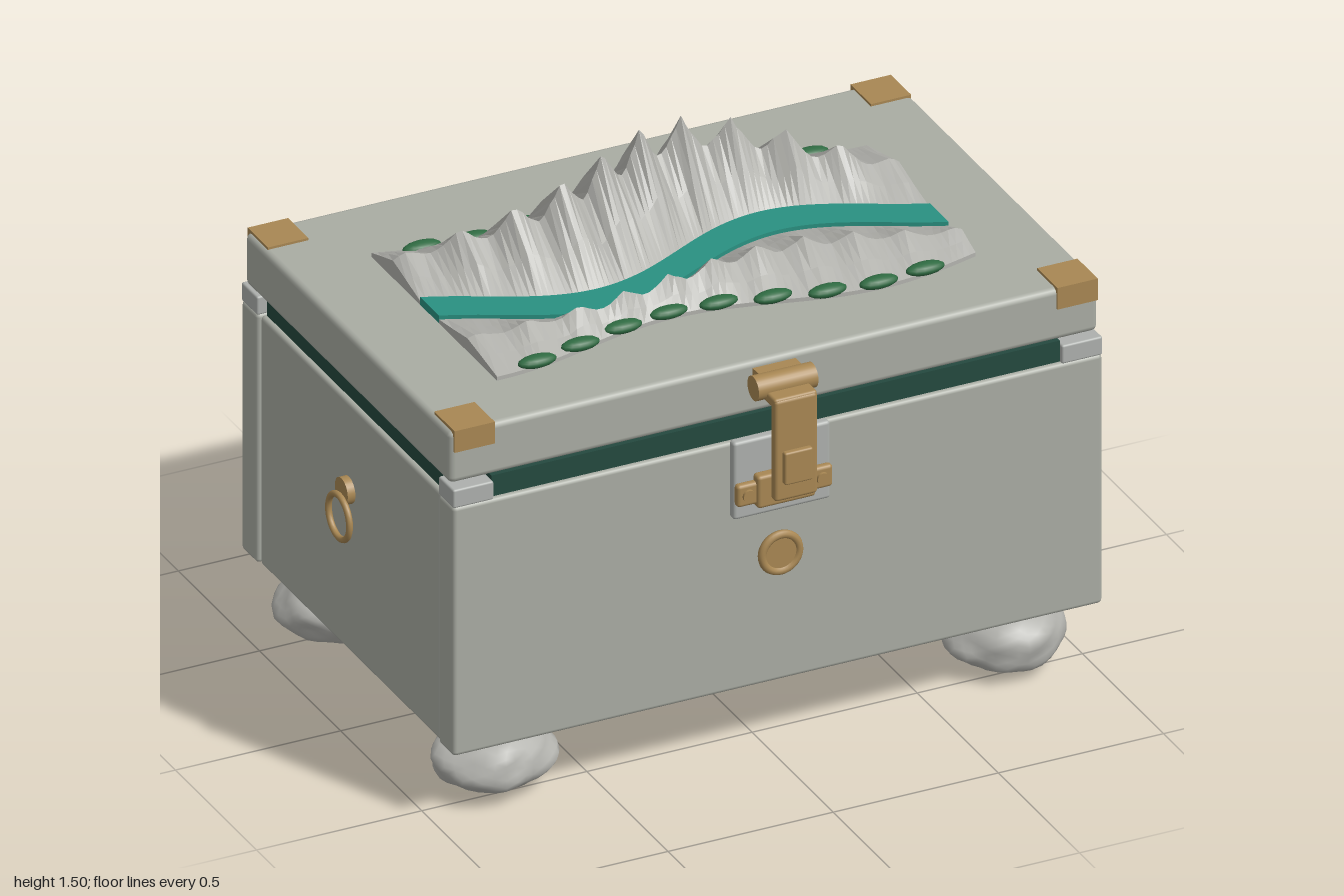
import * as THREE from 'three';
import { RoundedBoxGeometry } from 'three/addons/geometries/RoundedBoxGeometry.js';
import { mergeVertices } from 'three/addons/utils/BufferGeometryUtils.js';

const mat = (name, color) => {
  const m = new THREE.MeshStandardMaterial({ color });
  m.name = name;
  return m;
};

export function createModel() {
  const root = new THREE.Group();
  root.name = 'landscapeChest';
  const stone = mat('chest grey', 0xa9aca3);
  const pale = mat('pale grey', 0xadb0ad);
  const rock = mat('rock grey', 0xb2b2ad);
  const brass = mat('brass', 0xa88753);
  const lining = mat('dark green lining', 0x24493f);
  const water = mat('river teal', 0x2a9181);
  const leaf = mat('shrub green', 0x2f6b42);
  const CX = 0.015; // chest centre in x

  const add = (name, geo, material, parent = root) => {
    const m = new THREE.Mesh(geo, material);
    m.name = name;
    parent.add(m);
    return m;
  };
  // box given by its limits, with optional rounded edges
  const box = (name, material, [x0, x1], [y0, y1], [z0, z1], r = 0, parent = root) => {
    const s = [x1 - x0, y1 - y0, z1 - z0];
    const geo = r ? new RoundedBoxGeometry(...s, 2, r) : new THREE.BoxGeometry(...s);
    const m = add(name, geo, material, parent);
    m.position.set((x0 + x1) / 2, (y0 + y1) / 2, (z0 + z1) / 2);
    return m;
  };
  const rod = (name, material, r, len, axis, pos, parent = root) => {
    const geo = new THREE.CylinderGeometry(r, r, len, 28);
    if (axis === 'x') geo.rotateZ(Math.PI / 2);
    if (axis === 'z') geo.rotateX(Math.PI / 2);
    const m = add(name, geo, material, parent);
    m.position.set(...pos);
    return m;
  };
  let seed = 7;
  const rand = () => (seed = (seed * 16807) % 2147483647) / 2147483647;

  // chest body
  box('basePlate', stone, [-0.885, 0.915], [0.19, 0.25], [-0.58, 0.535], 0.008);
  box('frontPanel', stone, [-0.968, 0.998], [0.222, 0.995], [0.537, 0.63], 0.012);
  box('backPanel', stone, [-0.968, 0.998], [0.222, 0.995], [-0.678, -0.58], 0.012);
  box('leftPanel', stone, [0.89, 0.99], [0.222, 0.995], [-0.577, 0.534], 0.012);
  box('rightPanel', stone, [-0.96, -0.86], [0.222, 0.995], [-0.577, 0.534], 0.012);
  box('bodyCore', stone, [-0.9, 0.93], [0.23, 0.985], [-0.6, 0.56]);

  // lining between body and lid
  box('liningLong', lining, [-0.845, 0.875], [0.985, 1.06], [-0.655, 0.615]);
  box('liningWide', lining, [-0.945, 0.975], [0.985, 1.06], [-0.565, 0.52]);
  for (const [x0, x1] of [[-0.968, -0.845], [0.875, 0.998]])
    for (const [z0, z1] of [[-0.678, -0.58], [0.537, 0.63]])
      box('cornerBlock', pale, [x0, x1], [0.993, 1.05], [z0, z1], 0.006);

  // lid with brass corner brackets
  box('lid', stone, [-0.967, 0.997], [1.055, 1.215], [-0.658, 0.605], 0.018);
  for (const [x0, x1] of [[-0.955, -0.833], [0.87, 0.992]])
    for (const s of [1, -1]) {
      const e = s > 0 ? 0.611 : -0.664, i = e - s * 0.125;
      box('cornerCap', brass, [x0, x1], [1.21, 1.222], [Math.min(e, i), Math.max(e, i)]);
      box('cornerLeg', brass, [x0, x1], [1.155, 1.22], [Math.min(e, e - s * 0.012), Math.max(e, e - s * 0.012)]);
    }

  // stone feet: lumpy balls
  const footGeometry = (phase) => {
    let g = new THREE.IcosahedronGeometry(1, 5);
    g.deleteAttribute('uv');
    g.deleteAttribute('normal');
    g = mergeVertices(g);
    const p = g.attributes.position, v = new THREE.Vector3();
    for (let i = 0; i < p.count; i++) {
      v.fromBufferAttribute(p, i);
      const k = 1 + 0.05 * Math.sin(4 * v.x + phase) * Math.cos(3 * v.z - phase)
        + 0.04 * Math.sin(6 * v.y + 4 * v.z + phase) + 0.025 * Math.sin(9 * v.x - 7 * v.y + phase);
      p.setXYZ(i, v.x * k * 0.175, v.y * k * 0.096, v.z * k * 0.147);
    }
    g.computeVertexNormals();
    g.computeBoundingBox();
    return g.translate(0, -g.boundingBox.min.y, 0);
  };
  [[-0.76, 0.455], [0.79, 0.455], [-0.76, -0.505], [0.79, -0.505]].forEach(([x, z], i) => {
    add('stoneFoot', footGeometry(i * 1.7), rock).position.set(x, 0, z);
  });

  // front latch
  const latch = new THREE.Group();
  latch.name = 'latch';
  root.add(latch);
  box('latchBackPlate', pale, [CX - 0.147, CX + 0.147], [0.765, 1.005], [0.625, 0.656], 0.01, latch);
  box('strikePlate', brass, [CX - 0.145, CX + 0.145], [0.812, 0.88], [0.65, 0.676], 0.01, latch);
  box('strikeBlock', brass, [CX - 0.088, CX + 0.088], [0.8, 0.9], [0.65, 0.686], 0.01, latch);
  for (const s of [-1, 1]) rod('screw', brass, 0.018, 0.016, 'z', [CX + s * 0.112, 0.846, 0.676], latch);
  rod('latchBarrel', brass, 0.036, 0.18, 'x', [CX, 1.165, 0.66], latch);
  box('barrelMount', brass, [CX - 0.065, CX + 0.065], [1.13, 1.195], [0.6, 0.65], 0, latch);
  box('latchArm', brass, [CX - 0.065, CX + 0.065], [1.13, 1.162], [0.65, 0.742], 0.008, latch);
  box('latchLeaf', brass, [CX - 0.065, CX + 0.065], [0.845, 1.158], [0.714, 0.745], 0.01, latch);
  box('latchTab', brass, [CX - 0.043, CX + 0.043], [0.9, 1.0], [0.74, 0.761], 0.006, latch);

  // round boss below the latch
  rod('bossDisc', brass, 0.06, 0.024, 'z', [CX, 0.627, 0.638]);
  add('bossRim', new THREE.TorusGeometry(0.056, 0.012, 10, 36), brass).position.set(CX, 0.627, 0.645);

  // ring pull on the right side
  rod('ringMount', brass, 0.04, 0.03, 'x', [-0.968, 0.725, -0.03]);
  const ring = add('ringPull', new THREE.TorusGeometry(0.065, 0.0095, 10, 36), brass);
  ring.rotation.y = Math.PI / 2;
  ring.position.set(-0.99, 0.648, -0.03);

  // back hinges
  for (const x of [-0.578, 0.612]) {
    box('hingeLidBlock', brass, [x - 0.073, x + 0.073], [1.055, 1.14], [-0.73, -0.645], 0.008);
    rod('hingeBarrel', brass, 0.039, 0.215, 'x', [x, 1.048, -0.722]);
    box('hingeLeaf', brass, [x - 0.073, x + 0.073], [0.82, 1.03], [-0.706, -0.672], 0.008);
  }

  // relief landscape on the lid
  const BASE = 1.213, X0 = -0.72, X1 = 0.755;
  const wave = (mid, amp, peak, half) => (x) => mid + amp * Math.cos(Math.PI * (x - peak) / half);
  const riverMid = wave(0.05, 0.097, -0.27, 0.59);
  const riverBack = (x) => riverMid(x) - 0.058, riverFront = (x) => riverMid(x) + 0.058;
  const rearEdge = wave(-0.39, 0.06, -0.45, 0.6), rearRidge = wave(-0.2, 0.07, -0.33, 0.53);
  const frontEdge = wave(0.345, 0.05, 0.45, 0.58), frontRidge = wave(0.225, 0.033, -0.35, 0.58);

  // surface from cross-sections; rows(x) lists [z, y] from back to front, ends are closed
  const strip = (name, material, n, rows, flat) => {
    const pos = [], idx = [];
    let w = 0;
    for (let j = -1; j <= n + 1; j++) {
      const x = X0 + (X1 - X0) * Math.min(Math.max(j, 0), n) / n;
      const sec = rows(x);
      w = sec.length;
      for (const [z, y] of sec) pos.push(x, j < 0 || j > n ? BASE : y, z);
    }
    for (let j = 0; j < n + 2; j++)
      for (let i = 0; i < w - 1; i++) {
        const a = j * w + i, b = a + 1, c = a + w, d = c + 1;
        idx.push(a, b, c, c, b, d);
      }
    let g = new THREE.BufferGeometry();
    g.setAttribute('position', new THREE.Float32BufferAttribute(pos, 3));
    g.setIndex(idx);
    if (flat) g = g.toNonIndexed();
    g.computeVertexNormals();
    return add(name, g, material);
  };

  const lerp = THREE.MathUtils.lerp;
  const mountains = (name, back, ridge, front, low, high, n) =>
    strip(name, rock, n, (x) => {
      const u = Math.min(Math.abs(x - 0.02) / 0.745, 1);
      const env = low + high * Math.cos(u * Math.PI / 2);
      const peak = 1 - Math.abs(Math.sin(Math.PI * (x - 0.02) / 0.143));
      const h = env * (0.6 + 0.4 * peak ** 0.8) * (0.96 + 0.06 * rand());
      const y = BASE + 0.014, zb = back(x), zr = ridge(x), zf = front(x);
      const half = () => y + h * (0.44 + 0.1 * rand());
      return [[zb, BASE], [zb, y], [lerp(zb, zr, 0.5), half()], [zr, y + h],
        [lerp(zr, zf, 0.5), half()], [zf, y], [zf, BASE]];
    }, true);
  mountains('rearMountains', rearEdge, rearRidge, riverBack, 0.05, 0.23, 92);
  mountains('frontHills', riverFront, frontRidge, frontEdge, 0.035, 0.065, 72);

  strip('river', water, 60, (x) => [[riverBack(x), BASE], [riverBack(x), BASE + 0.026],
    [riverFront(x), BASE + 0.026], [riverFront(x), BASE]], true);

  // shrubs along both outer edges
  const shrub = new THREE.SphereGeometry(1, 14, 10).scale(0.058, 0.018, 0.026);
  for (let k = 0; k < 9; k++) {
    const x = -0.59 + 0.147 * k;
    add('frontShrub', shrub, leaf).position.set(x, 1.236, frontEdge(x) - 0.008);
    add('rearShrub', shrub, leaf).position.set(x, 1.236, rearEdge(x) + 0.01);
  }
  return root;
}
